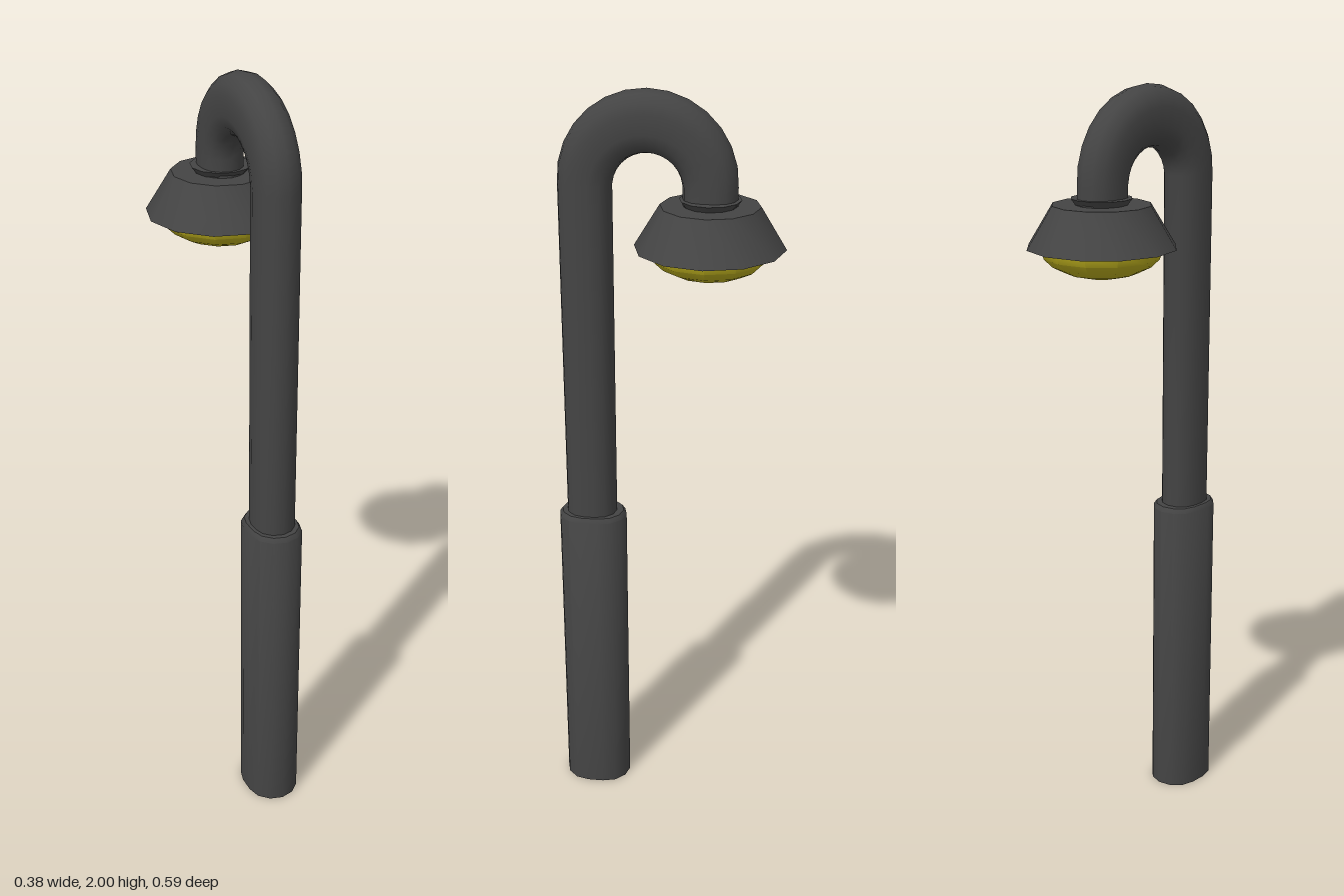
import * as THREE from 'three';
import { toCreasedNormals } from 'three/addons/utils/BufferGeometryUtils.js';

const POLE_X = -0.003, POLE_Z = 0.204;
const metal = new THREE.MeshStandardMaterial({ color: 0x444444 });
const glow = new THREE.MeshStandardMaterial({ color: 0xb5a81c });

// Outline with straight flanks and rounded front and back
function section(halfX, halfZ) {
  const points = [];
  for (const end of [1, -1]) {
    for (let i = 0; i <= 6; i++) {
      const t = (i / 6) * Math.PI;
      points.push([end * halfX * Math.cos(t), end * (halfZ - halfX + halfX * Math.sin(t))]);
    }
  }
  return points;
}

// Skin over stations { y, z, angle, halfX, halfZ }, with closed ends
function sweep(stations) {
  const pos = [], index = [];
  const count = section(1, 2).length;
  for (const s of stations) {
    for (const [x, d] of section(s.halfX, s.halfZ)) {
      pos.push(POLE_X + x, s.y + d * Math.sin(s.angle), s.z + d * Math.cos(s.angle));
    }
  }
  for (let i = 0; i < stations.length - 1; i++) {
    for (let j = 0; j < count; j++) {
      const a = i * count + j, b = i * count + (j + 1) % count;
      index.push(a, a + count, b, b, a + count, b + count);
    }
  }
  const last = (stations.length - 1) * count;
  for (let j = 1; j < count - 1; j++) {
    index.push(0, j, j + 1, last, last + j + 1, last + j);
  }
  const geometry = new THREE.BufferGeometry();
  geometry.setAttribute('position', new THREE.Float32BufferAttribute(pos, 3));
  geometry.setIndex(index);
  return toCreasedNormals(geometry, 0.65);
}

function lathe(profile) {
  const points = profile.map(([r, y]) => new THREE.Vector2(r, y));
  const geometry = new THREE.LatheGeometry(points, 12);
  geometry.deleteAttribute('normal');
  geometry.deleteAttribute('uv');
  return toCreasedNormals(geometry, 0.6);
}

export function createModel() {
  const model = new THREE.Group();
  const add = (name, geometry, material, z = 0) => {
    const mesh = new THREE.Mesh(geometry, material);
    mesh.name = name;
    mesh.position.z = z;
    model.add(mesh);
  };

  // Thick lower sleeve with a small bevel on top
  const sleeve = (y, inset) => ({ y, z: POLE_Z, angle: 0, halfX: 0.07 - inset, halfZ: 0.092 - inset });
  add('base', sweep([sleeve(0, 0), sleeve(0.85, 0), sleeve(0.862, 0.008)]), metal);

  // Upper pole bending over into a hook
  const bendY = 1.765, bendZ = 0.05, radius = 0.156;
  const stations = [{ y: 0.84, z: bendZ + radius, angle: 0, halfX: 0.053, halfZ: 0.068 }];
  for (let i = 0; i <= 14; i++) {
    const angle = (i / 14) * Math.PI;
    stations.push({
      y: bendY + radius * Math.sin(angle),
      z: bendZ + radius * Math.cos(angle),
      angle,
      halfX: 0.053,
      halfZ: 0.069 + 0.009 * Math.sin(angle),
    });
  }
  stations.push({ ...stations[stations.length - 1], y: 1.715 });
  add('pole', sweep(stations), metal);

  // Lamp head hanging from the hook
  const lampZ = -0.107;
  add('collar', lathe([[0, 1.715], [0.064, 1.715], [0.078, 1.734], [0, 1.734]]), metal, lampZ);
  add('shade', lathe([[0, 1.63], [0.155, 1.63], [0.16, 1.612], [0.191, 1.612], [0.126, 1.718], [0, 1.718]]), metal, lampZ);

  // Shallow domed bulb
  const dome = [];
  for (let i = 0; i <= 5; i++) {
    const t = (i / 5) * Math.PI / 2;
    dome.push([0.156 * Math.sin(t), 1.612 - 0.077 * Math.cos(t)]);
  }
  add('bulb', lathe([...dome, [0.156, 1.628]]), glow, lampZ);
  return model;
}
